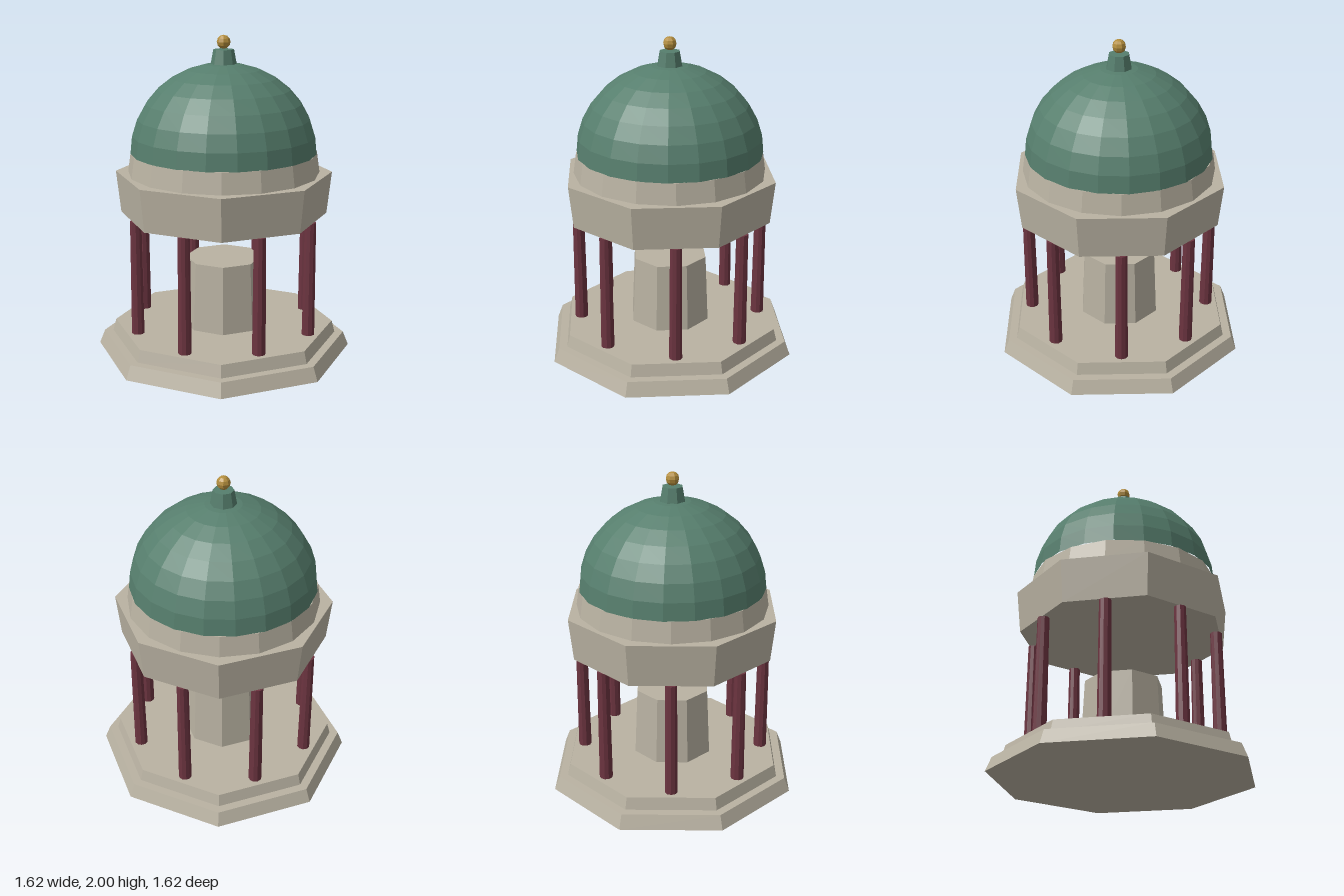
import * as THREE from 'three';

const flat = (name, color) => {
  const m = new THREE.MeshStandardMaterial({ color, flatShading: true });
  m.name = name;
  return m;
};

export function createModel() {
  const stone = flat('paleStone', 0xb9b2a2);
  const copper = flat('greenCopper', 0x567e6d);
  const wine = flat('darkRedMarble', 0x6c3440);
  const gold = flat('gold', 0xb38d3c);

  const model = new THREE.Group();
  model.name = 'domedPavilion';

  const add = (name, geometry, material, x, y, z, parent = model) => {
    const mesh = new THREE.Mesh(geometry, material);
    mesh.name = name;
    mesh.position.set(x, y, z);
    parent.add(mesh);
    return mesh;
  };

  // Tapered prism standing between heights y0 and y1
  const tier = (name, rBottom, rTop, y0, y1, sides, material) =>
    add(name, new THREE.CylinderGeometry(rTop, rBottom, y1 - y0, sides),
      material, 0, (y0 + y1) / 2, 0);

  // Stepped octagonal base and central pedestal
  tier('lowerStep', 0.81, 0.775, 0, 0.087, 8, stone);
  tier('upperStep', 0.72, 0.7, 0.087, 0.163, 8, stone);
  tier('pedestal', 0.26, 0.24, 0.163, 0.6, 8, stone);

  // Ring of eight columns, one at the middle of each side
  const columns = new THREE.Group();
  columns.name = 'columns';
  model.add(columns);
  const shaft = new THREE.CylinderGeometry(0.036, 0.041, 0.727, 10);
  for (let i = 0; i < 8; i++) {
    const a = (i + 0.5) * Math.PI / 4;
    const column = add('column', shaft, wine,
      0.577 * Math.sin(a), 0.5265, 0.577 * Math.cos(a), columns);
    column.rotation.y = a;
  }

  // Flared entablature and drum
  tier('entablature', 0.647, 0.675, 0.89, 1.155, 8, stone);
  tier('drum', 0.597, 0.578, 1.155, 1.285, 16, stone);

  // Slightly flattened dome
  const dome = new THREE.SphereGeometry(0.577, 20, 8, 0, Math.PI * 2, 0, Math.PI / 2);
  dome.scale(1, 0.95, 1);
  add('dome', dome, copper, 0, 1.284, 0);

  // Lantern and finial ball
  tier('lantern', 0.081, 0.063, 1.815, 1.913, 8, copper);
  add('finial', new THREE.SphereGeometry(0.042, 8, 6), gold, 0, 1.958, 0);

  return model;
}
